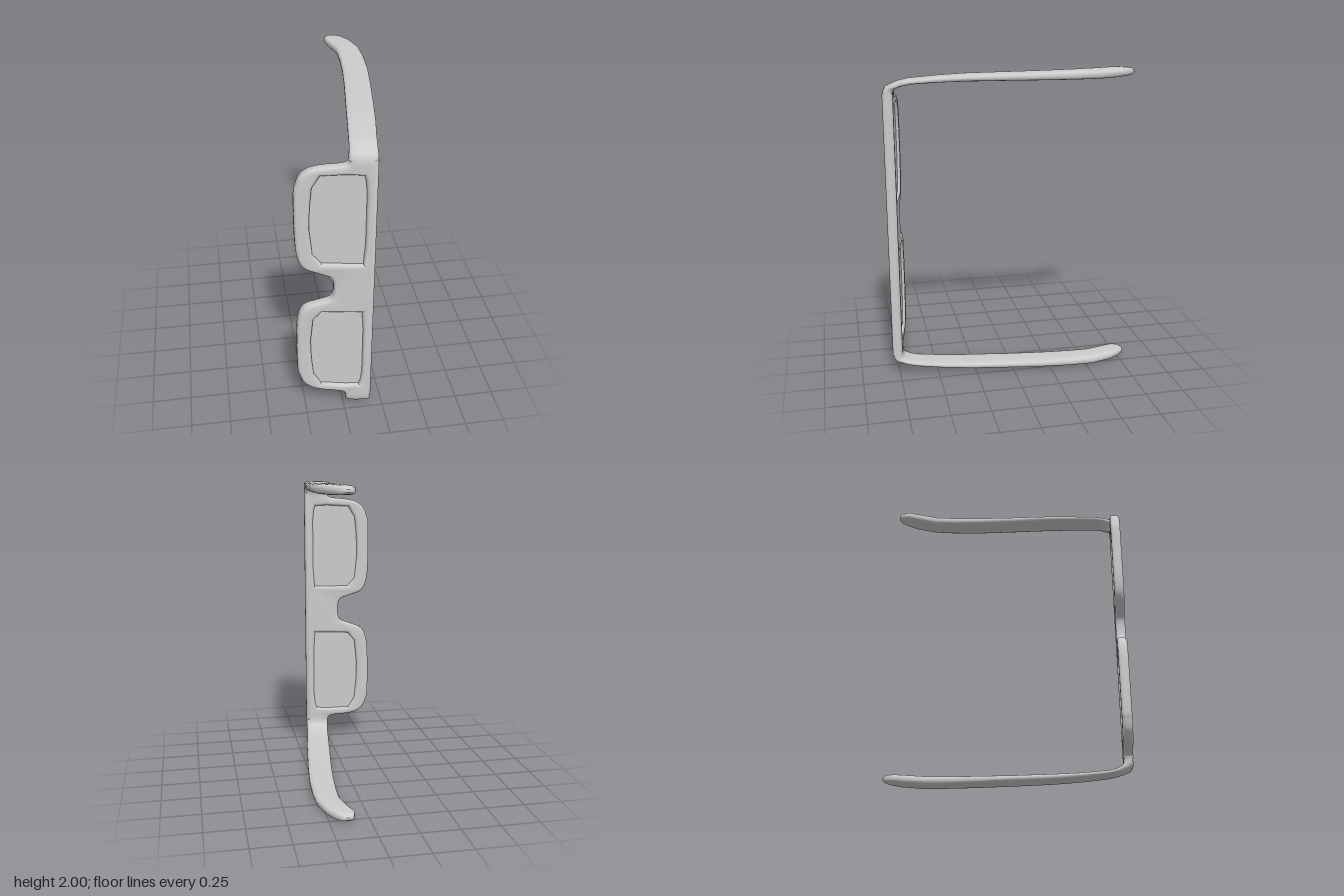
import * as THREE from 'three';
import { toCreasedNormals } from 'three/addons/utils/BufferGeometryUtils.js';

const material = new THREE.MeshStandardMaterial({ color: 0xcccccc });
const MID = 1.006; // height of the bridge centre
const TILT = 0.16; // lean of the front: z gained per unit of x

const v2 = (pts) => pts.map(([x, y]) => new THREE.Vector2(x, y));
const mirror = (pts) => pts.map(([x, y]) => [x, -y]).reverse();

// Rim outline from hinge to bridge, y measured from the bridge centre
const rimHalf = [
  [0.0, 0.865], [-0.012, 0.84], [-0.06, 0.829], [-0.14, 0.821], [-0.21, 0.803], [-0.262, 0.762],
  [-0.288, 0.70], [-0.3, 0.63], [-0.3, 0.36], [-0.287, 0.22], [-0.25, 0.145],
  [-0.17, 0.11], [-0.105, 0.085], [-0.083, 0.055],
];
const lensHalf = [
  [-0.155, 0.767], [0.0, 0.776], [0.083, 0.771], [0.094, 0.74], [0.102, 0.66], [0.102, 0.32],
  [0.092, 0.176], [0.0, 0.176], [-0.15, 0.18], [-0.2, 0.24], [-0.217, 0.42], [-0.213, 0.55], [-0.2, 0.69],
];

// Extrude a flat shape and lean it; z0 is its back at x = 0
function frontPart(name, shape, z0, depth, bevel) {
  const geo = new THREE.ExtrudeGeometry(shape, {
    depth: depth - 2 * bevel, bevelEnabled: bevel > 0, bevelThickness: bevel,
    bevelSize: bevel, bevelOffset: -bevel, bevelSegments: 4, curveSegments: 8,
  });
  const p = geo.attributes.position;
  for (let i = 0; i < p.count; i++) {
    const x = p.getX(i);
    p.setXYZ(i, x, p.getY(i) + MID, p.getZ(i) + bevel + z0 + TILT * x);
  }
  const mesh = new THREE.Mesh(toCreasedNormals(geo, 0.7), material);
  mesh.name = name;
  return mesh;
}

// Temple sections, hinge to tip: left x, right x, inner y/z, outer y/z (y from centre), lean
const templeSections = [
  [0.0, 0.160, 0.835, 0.722, 0.835, 0.787, 0.15],
  [0.0, 0.160, 0.872, 0.722, 0.880, 0.787, 0.15],
  [0.003, 0.161, 0.892, 0.712, 0.908, 0.772, 0.14],
  [0.012, 0.168, 0.910, 0.670, 0.936, 0.700, 0.08],
  [0.018, 0.176, 0.920, 0.620, 0.951, 0.632, 0.03],
  [0.040, 0.205, 0.931, 0.45, 0.967, 0.455, 0],
  [0.062, 0.228, 0.935, 0.28, 0.978, 0.28, 0],
  [0.100, 0.264, 0.937, 0.0, 0.985, 0.0, 0],
  [0.125, 0.288, 0.937, -0.22, 0.990, -0.22, 0],
  [0.138, 0.296, 0.937, -0.40, 0.995, -0.40, 0],
  [0.140, 0.290, 0.938, -0.54, 0.999, -0.54, -0.08],
  [0.108, 0.250, 0.940, -0.67, 1.000, -0.67, -0.2],
  [0.086, 0.212, 0.944, -0.74, 0.997, -0.74, -0.15],
  [0.098, 0.185, 0.950, -0.78, 0.991, -0.78, -0.05],
  [0.125, 0.158, 0.962, -0.799, 0.978, -0.799, 0],
];

function temple(name, side) {
  const N = 24, pos = [], idx = [];
  const rows = templeSections.length;
  const power = (t) => Math.sign(t) * Math.abs(t) ** 0.6; // rounded-box cross-section
  for (const [xl, xr, yi, zi, yo, zo, lean] of templeSections) {
    for (let j = 0; j < N; j++) {
      const a = (j / N) * Math.PI * 2;
      const u = power(Math.cos(a)), v = (power(Math.sin(a)) + 1) / 2;
      const dx = (u * (xr - xl)) / 2;
      pos.push((xl + xr) / 2 + dx, 1 + side * (yi + (yo - yi) * v), zi + (zo - zi) * v + lean * dx);
    }
  }
  const tri = (a, b, c) => (side > 0 ? idx.push(a, b, c) : idx.push(a, c, b));
  for (let i = 0; i < rows - 1; i++) {
    for (let j = 0; j < N; j++) {
      const k = (j + 1) % N, a = i * N + j, b = i * N + k;
      tri(a, a + N, b);
      tri(b, a + N, b + N);
    }
  }
  // End caps
  const last = (rows - 1) * N;
  for (let j = 1; j < N - 1; j++) {
    tri(0, j, j + 1);
    tri(last, last + j + 1, last + j);
  }
  const geo = new THREE.BufferGeometry();
  geo.setAttribute('position', new THREE.Float32BufferAttribute(pos, 3));
  geo.setIndex(idx);
  const mesh = new THREE.Mesh(toCreasedNormals(geo, 0.9), material);
  mesh.name = name;
  return mesh;
}

export function createModel() {
  const group = new THREE.Group();
  group.name = 'glasses';

  // Front frame with two lens openings
  const frame = new THREE.Shape();
  frame.moveTo(0.16, -0.872);
  frame.lineTo(0.16, 0.872);
  frame.lineTo(0.0, 0.865);
  frame.splineThru(v2([...rimHalf.slice(1), [-0.077, 0], ...mirror(rimHalf)]));
  const lensOutlines = [lensHalf, mirror(lensHalf)];
  for (const outline of lensOutlines) frame.holes.push(new THREE.Path(v2(outline)));
  group.add(frontPart('frontFrame', frame, 0.71, 0.065, 0.02));

  // Lenses set inside the rims
  lensOutlines.forEach((outline, i) => {
    const lens = new THREE.Shape(v2(outline.map(([x, y]) => [x * 1.02, y])));
    group.add(frontPart(i ? 'lowerLens' : 'upperLens', lens, 0.728, 0.022, 0));
  });

  // Temples
  group.add(temple('upperTemple', 1), temple('lowerTemple', -1));
  return group;
}
